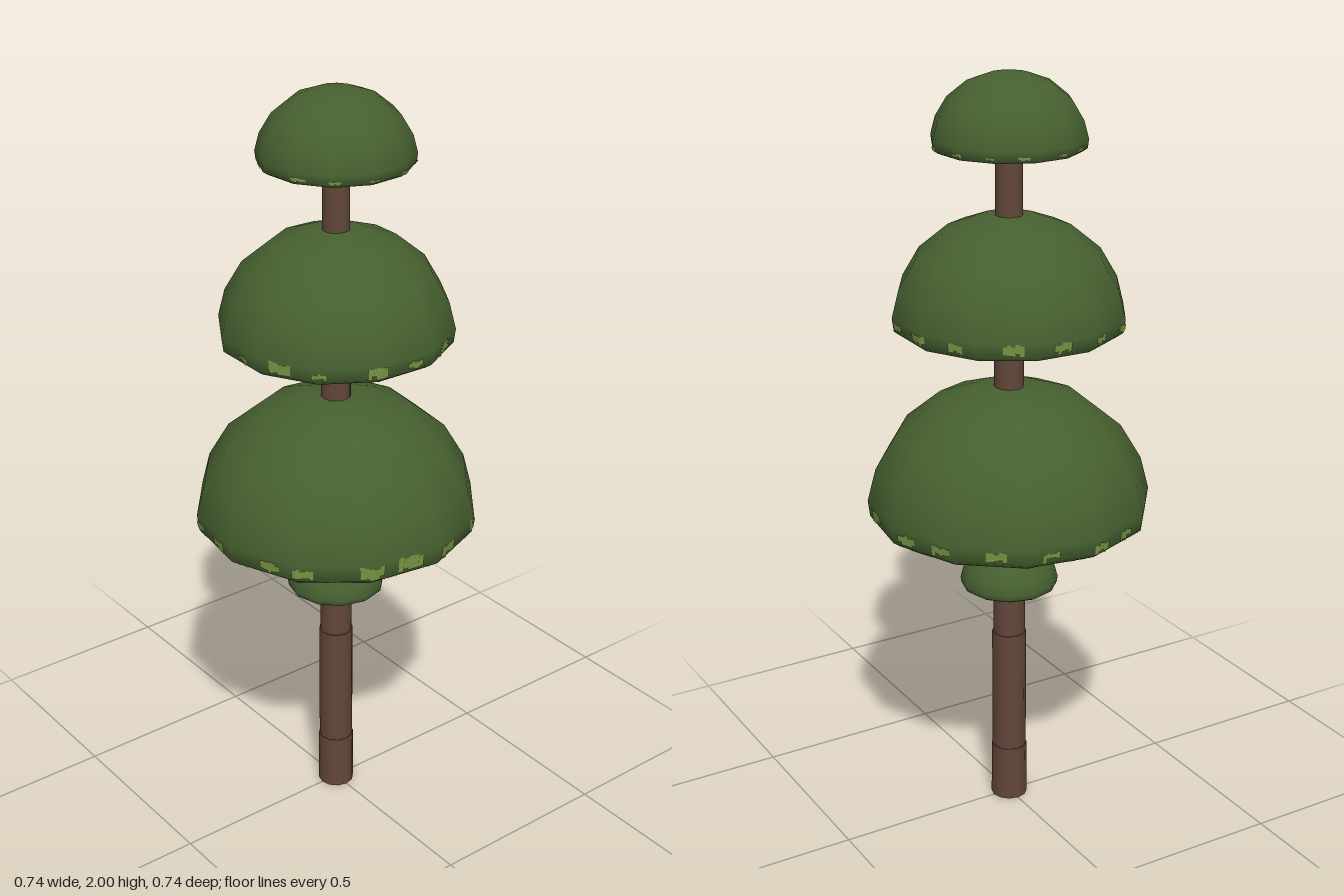
import * as THREE from 'three';

const SIDES = 12;
const STEP = (Math.PI * 2) / SIDES;

// Dome profile from rim to crown: [fraction of radius, fraction of height]
const PROFILE = [
  [0.93, 0], [0.985, 0.04], [1, 0.16], [0.94, 0.4],
  [0.79, 0.66], [0.53, 0.88], [0.25, 0.985], [0, 1],
];

const TIERS = [
  { name: 'lowestTuft', r: 0.13, y: 0.64, h: 0.125, turn: 0, spots: 0 },
  { name: 'largeCanopy', r: 0.372, y: 0.84, h: 0.362, turn: 6.5, spots: 17, rim: true },
  { name: 'middleCanopy', r: 0.302, y: 1.355, h: 0.295, turn: 13.4, spots: 15 },
  { name: 'topCanopy', r: 0.197, y: 1.813, h: 0.187, turn: 19.5, spots: 13 },
];

function seeded(seed) {
  return () => {
    seed = (seed * 16807) % 2147483647;
    return seed / 2147483647;
  };
}

// Point just above the faceted dome at an angle and a fraction of its height
function domePoint(tier, phi, t) {
  let i = 0;
  while (i < PROFILE.length - 2 && PROFILE[i + 1][1] < t) i++;
  const [r0, t0] = PROFILE[i];
  const [r1, t1] = PROFILE[i + 1];
  const radius = tier.r * (r0 + ((r1 - r0) * (t - t0)) / (t1 - t0));
  const turn = THREE.MathUtils.degToRad(tier.turn);
  const local = THREE.MathUtils.euclideanModulo(phi - turn, STEP) - STEP / 2;
  const r = (radius * Math.cos(STEP / 2)) / Math.cos(local) + 0.003;
  return [r * Math.sin(phi), tier.y + tier.h * t, r * Math.cos(phi)];
}

// Ragged leaf patches around the rim, made of narrow strips
function patches(tier, material, name, count, shift, width, low, high, rnd) {
  const positions = [];
  const index = [];
  const columns = 5;
  for (let s = 0; s < count; s++) {
    const mid = ((s + shift + (rnd() - 0.5) * 0.35) / count) * Math.PI * 2;
    const size = 0.6 + rnd() * 0.4;
    for (let c = 0; c < columns; c++) {
      const a = mid + (c / columns - 0.5) * width * size;
      const b = a + (width * size) / columns;
      const bottom = low + rnd() * (high - low) * 0.3;
      const top = low + (high - low) * size * (0.75 + rnd() * 0.25);
      const n = positions.length / 3;
      positions.push(
        ...domePoint(tier, a, bottom), ...domePoint(tier, b, bottom),
        ...domePoint(tier, b, top), ...domePoint(tier, a, top),
      );
      index.push(n, n + 1, n + 2, n, n + 2, n + 3);
    }
  }
  const geometry = new THREE.BufferGeometry();
  geometry.setAttribute('position', new THREE.Float32BufferAttribute(positions, 3));
  geometry.setIndex(index);
  geometry.computeVertexNormals();
  const mesh = new THREE.Mesh(geometry, material);
  mesh.name = name;
  return mesh;
}

function lathe(points, turn, material, name) {
  const profile = points.map(([x, y]) => new THREE.Vector2(x, y));
  const geometry = new THREE.LatheGeometry(profile, SIDES, THREE.MathUtils.degToRad(turn));
  const mesh = new THREE.Mesh(geometry, material);
  mesh.name = name;
  return mesh;
}

export function createModel() {
  const foliage = new THREE.MeshStandardMaterial({ color: 0x466030 });
  foliage.name = 'foliage green';
  const leaf = new THREE.MeshStandardMaterial({ color: 0x7a9a45 });
  leaf.name = 'light leaf green';
  const bark = new THREE.MeshStandardMaterial({ color: 0x624639 });
  bark.name = 'bark brown';

  const model = new THREE.Group();
  model.name = 'tieredTree';

  // Trunk sections, narrowing in small steps: bottom, top, radii
  const sections = [
    [0, 0.155, 0.049, 0.048], [0.155, 0.5, 0.046, 0.046],
    [0.5, 0.9, 0.043, 0.042], [0.9, 1.4, 0.04, 0.038], [1.4, 1.88, 0.036, 0.034],
  ];
  const trunk = new THREE.Group();
  trunk.name = 'trunk';
  sections.forEach(([y0, y1, r0, r1], i) => {
    const mesh = new THREE.Mesh(new THREE.CylinderGeometry(r1, r0, y1 - y0, SIDES), bark);
    mesh.position.y = (y0 + y1) / 2;
    mesh.name = `trunkSection${i + 1}`;
    trunk.add(mesh);
  });
  model.add(trunk);

  // Foliage domes with flat undersides and speckled rims
  const rnd = seeded(71);
  for (const tier of TIERS) {
    const group = new THREE.Group();
    group.name = tier.name;
    const outline = PROFILE.map(([r, t]) => [r * tier.r, tier.y + t * tier.h]);
    group.add(lathe(outline, tier.turn, foliage, 'dome'));
    group.add(lathe([[0, tier.y], outline[0]], tier.turn, foliage, 'underside'));
    if (tier.spots) {
      const high = tier === TIERS[3] ? 0.11 : 0.18;
      group.add(patches(tier, leaf, 'leafPatches', tier.spots, 0, 0.2, 0.04, high, rnd));
    }
    if (tier.rim) {
      group.add(patches(tier, bark, 'rimPatches', tier.spots, 0.5, 0.22, 0.005, 0.035, rnd));
    }
    model.add(group);
  }
  return model;
}
